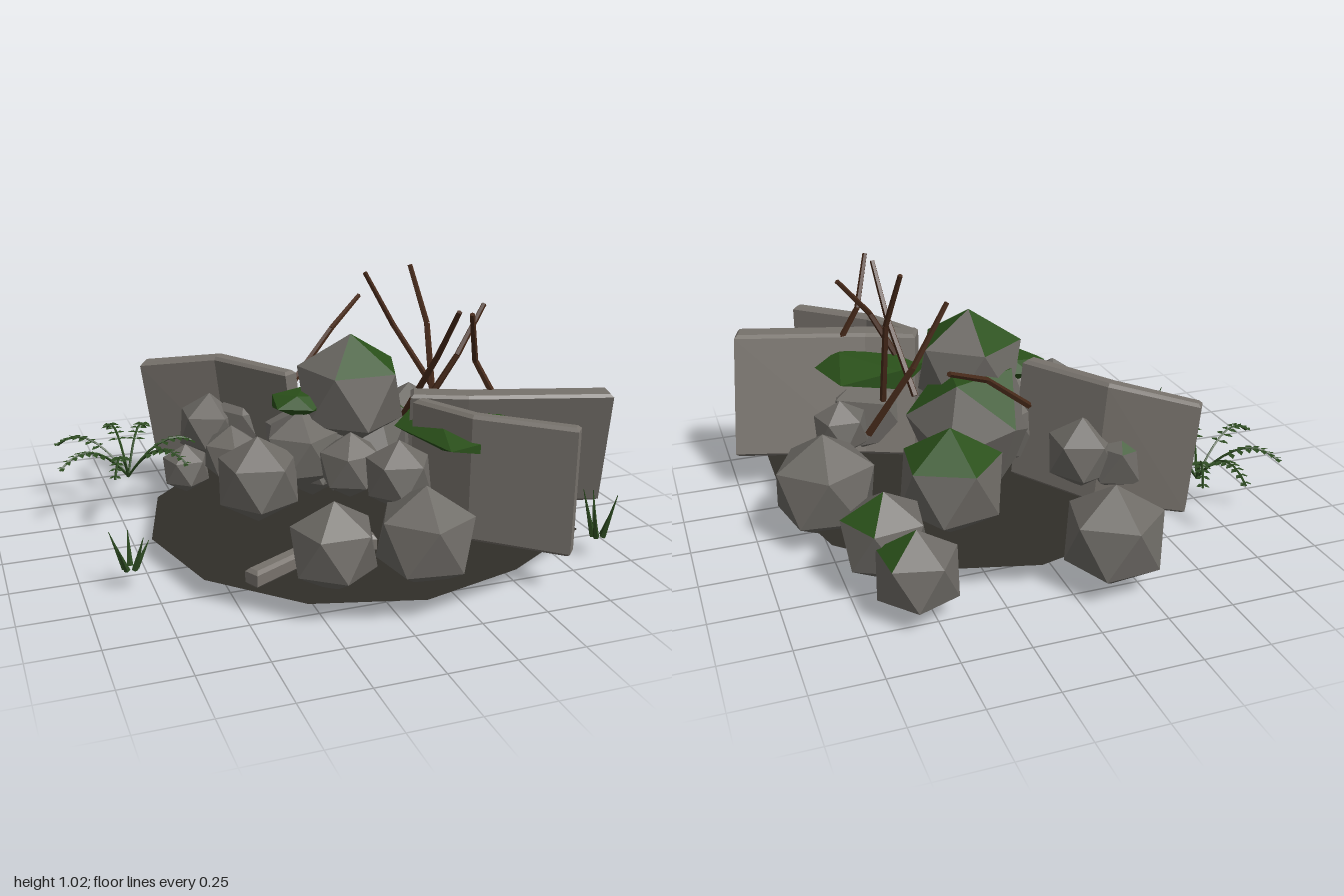
import * as THREE from 'three';

const mat = (color, extra = {}) => new THREE.MeshStandardMaterial({ color, flatShading: true, roughness: 1, ...extra });
const STONE = mat(0x6d6a65), SLAB = mat(0x77726c), MOSS = mat(0x2a501a), BARK = mat(0x472a1a);
const SOIL = mat(0x302e29, { side: THREE.DoubleSide });
const LEAF = mat(0x2c4a20, { side: THREE.DoubleSide });
const V = (x, y, z) => new THREE.Vector3(x, y, z);

function add(parent, name, geometry, material) {
  const mesh = new THREE.Mesh(geometry, material);
  mesh.name = name;
  parent.add(mesh);
  return mesh;
}

// Twenty-sided stone with a corner on top (tilt brings a face up); the upper faces
// nearest the moss azimuths turn green.
function rock(parent, [x, y, z, r, spin = 0, moss = [], tilt = 0]) {
  const geo = new THREE.IcosahedronGeometry(r, 0);
  geo.rotateZ(-Math.atan(2 / (1 + Math.sqrt(5))) - tilt).rotateY(spin);
  const p = geo.attributes.position, faces = [];
  for (let i = 0; i < p.count; i += 3) {
    const f = [0, 1, 2].map(k => new THREE.Vector3().fromBufferAttribute(p, i + k));
    faces.push({ f, mid: V(0, 0, 0).add(f[0]).add(f[1]).add(f[2]).normalize() });
  }
  const green = new Set(moss.map(a => {
    const d = V(Math.cos(a) * 0.6, 0.8, Math.sin(a) * 0.6);
    return faces.reduce((best, c) => (c.mid.dot(d) > best.mid.dot(d) ? c : best));
  }));
  const build = list => {
    const g = new THREE.BufferGeometry().setFromPoints(list.flatMap(c => c.f));
    g.computeVertexNormals();
    return g;
  };
  const group = new THREE.Group();
  group.name = 'rock';
  group.position.set(x, y, z);
  add(group, 'stone', build(faces.filter(c => !green.has(c))), STONE);
  if (green.size) add(group, 'mossFaces', build([...green]), MOSS);
  parent.add(group);
}

// Bent upright slab: footprint polyline [x, z] thickened, extruded upward, leaned,
// with the top sinking by `droop` towards its first point.
function slab(parent, name, path, thick, y0, height, lean, droop = 0) {
  const bevel = 0.012, left = [], right = [];
  path.forEach(([x, z], i) => {
    const a = path[Math.max(i - 1, 0)], b = path[Math.min(i + 1, path.length - 1)];
    const n = new THREE.Vector2(b[1] - a[1], -(b[0] - a[0])).normalize().multiplyScalar(thick / 2 - bevel);
    left.push(new THREE.Vector2(x + n.x, -z - n.y));
    right.unshift(new THREE.Vector2(x - n.x, -z + n.y));
  });
  const geo = new THREE.ExtrudeGeometry(new THREE.Shape([...left, ...right]), {
    depth: height - 2 * bevel, bevelSize: bevel, bevelThickness: bevel, bevelSegments: 1,
  });
  geo.rotateX(-Math.PI / 2).translate(0, y0 + bevel, 0);
  const p = geo.attributes.position, span = path[1][0] - path[0][0];
  for (let i = 0; i < p.count; i++) {
    const h = (p.getY(i) - y0) / height, sink = Math.max(0, (path[1][0] - p.getX(i)) / span);
    p.setXYZ(i, p.getX(i) + lean[0] * h, p.getY(i) - droop * h * sink, p.getZ(i) + lean[1] * h);
  }
  geo.computeVertexNormals();
  add(parent, name, geo, SLAB);
}

// Straight stick between two points.
function stick(parent, name, a, b, r0, r1, material) {
  const mesh = add(parent, name, new THREE.CylinderGeometry(r1, r0, a.distanceTo(b), 5), material);
  mesh.position.copy(a).lerp(b, 0.5);
  mesh.quaternion.setFromUnitVectors(V(0, 1, 0), b.clone().sub(a).normalize());
}

// Arching frond along +x with paired diamond leaflets.
function frond(length) {
  const group = new THREE.Group();
  group.name = 'frond';
  const curve = new THREE.QuadraticBezierCurve3(V(0, 0, 0), V(length * 0.55, 0.24, 0), V(length, 0.11, 0));
  add(group, 'stem', new THREE.TubeGeometry(curve, 8, 0.005, 4), LEAF);
  const points = [];
  for (let i = 0; i < 7; i++) {
    const c = curve.getPoint(0.36 + i * 0.1), l = 0.042 - i * 0.003;
    for (const s of [-1, 1]) {
      const tip = V(c.x + l * 0.4, c.y - 0.006, s * l);
      const m1 = V(c.x - 0.004, c.y, s * l * 0.55), m2 = V(c.x + 0.022, c.y, s * l * 0.45);
      points.push(c, m1, tip, c, tip, m2);
    }
  }
  const geo = new THREE.BufferGeometry().setFromPoints(points);
  geo.computeVertexNormals();
  add(group, 'leaflets', geo, LEAF);
  return group;
}

export function createModel() {
  const model = new THREE.Group();
  model.name = 'rubblePile';

  // Ground patch: twelve-sided, with one corner pulled out
  const rim = [];
  for (let i = 0; i < 12; i++) {
    const a = (i * Math.PI) / 6, r = i === 1 ? 0.9 : 0.785;
    rim.push(new THREE.Vector2(0.08 + r * Math.cos(a), -0.135 - r * Math.sin(a)));
  }
  const ground = add(model, 'groundPatch', new THREE.ShapeGeometry(new THREE.Shape(rim)), SOIL);
  ground.rotation.x = -Math.PI / 2;
  ground.position.y = 0.08;

  // Rocks: x, y, z, radius, spin, moss azimuths, tilt
  const rocks = [
    [0.1, 0.575, 0.11, 0.23, 0.3, [2.2, 0.2, 4]],
    [0.13, 0.38, -0.01, 0.265, 0.9, [-1.6, -0.9, -0.3], 0.652],
    [-0.03, 0.34, 0.04, 0.21, 0.2],
    [0.3, 0.27, -0.27, 0.22, 0.5, [-0.6, -2, 0.7]],
    [0.73, 0.215, -0.04, 0.215, 0.2, [1.6]],
    [0.55, 0.165, -0.68, 0.165, 0.7, [0.2]],
    [0.61, 0.21, -0.48, 0.175, 1.1, [-0.8]],
    [-0.16, 0.2, -0.73, 0.2, 0.4, [1.7]],
    [-0.32, 0.32, 0.26, 0.17, 0.1],
    [-0.35, 0.33, 0, 0.12, 0.8],
    [-0.47, 0.18, -0.29, 0.105, 0.3],
    [-0.34, 0.32, -0.38, 0.145, 1.2, [-1.5]],
    [-0.2, 0.34, -0.34, 0.145, 0.6],
    [-0.12, 0.38, 0.16, 0.16, 0.9],
    [0.02, 0.36, 0.33, 0.13, 0.5],
    [-0.18, 0.22, 0.7, 0.17, 0.3, [-0.6]],
    [0.16, 0.21, 0.71, 0.195, 0.8, [0.1]],
    [0.13, 0.38, 0.53, 0.135, 0.1],
    [0.43, 0.3, 0.42, 0.2, 0.4],
    [0.6, 0.31, 0.25, 0.12, 0.9],
    [0.72, 0.24, 0.55, 0.095, 0.2],
  ];
  rocks.forEach(r => rock(model, r));

  // Flattened moss cushions: position and radii
  const cushions = [[0.43, 0.51, 0.45, 0.26, 0.075, 0.32], [-0.1, 0.55, 0.1, 0.13, 0.05, 0.12]];
  cushions.forEach(([x, y, z, a, b, c], i) => {
    const m = add(model, 'mossCushion', new THREE.IcosahedronGeometry(1, 0).rotateY(i * 0.8 + 0.3), MOSS);
    m.position.set(x, y, z);
    m.scale.set(a, b, c);
  });

  // Broken slabs
  slab(model, 'frontSlab', [[0.25, 0.44], [0.365, 0.66], [0.63, 0.895]], 0.055, 0.15, 0.48, [0, 0]);
  slab(model, 'rightSlab', [[0.3, 0.25], [0.48, 0.33], [0.98, 0.48]], 0.1, 0.16, 0.48, [-0.05, 0.13]);
  slab(model, 'backSlab', [[-0.51, -0.58], [-0.24, -0.4], [-0.04, -0.08]], 0.065, 0.16, 0.47, [-0.06, 0.03], 0.05);
  slab(model, 'lowSlab', [[-0.46, 0.67], [-0.16, 0.51], [0.03, 0.53]], 0.06, 0.1, 0.065, [0, 0]);

  // Twigs: base, bend, tip
  const twigs = [
    [V(0.57, 0.56, 0.46), V(0.47, 0.75, 0.43), V(0.41, 0.95, 0.51)],
    [V(0.32, 0.46, 0.13), V(0.38, 0.74, 0.3), V(0.4, 0.94, 0.43)],
    [V(0.35, 0.58, 0.3), V(0.44, 0.75, 0.34), V(0.58, 0.92, 0.27)],
    [V(0.45, 0.46, 0.13), V(0.45, 0.8, 0.04), V(0.41, 1.02, -0.05)],
    [V(0.58, 0.46, -0.16), V(0.42, 0.73, -0.23), V(0.29, 0.96, -0.23)],
    [V(-0.02, 0.52, -0.24), V(0.19, 0.7, -0.36), V(0.37, 0.8, -0.5)],
  ];
  for (const [a, b, c] of twigs) {
    const twig = new THREE.Group();
    twig.name = 'twig';
    stick(twig, 'lowerTwig', a, b, 0.014, 0.012, BARK);
    stick(twig, 'upperTwig', b, c, 0.012, 0.01, BARK);
    model.add(twig);
  }

  // Fern: fronds given by their tip offsets
  const fern = new THREE.Group();
  fern.name = 'fern';
  fern.position.set(-0.7, 0.15, -0.35);
  const tips = [[-0.03, -0.31], [0.13, -0.27], [0.3, 0.03], [0.2, 0.24], [-0.1, 0.29], [-0.29, 0.13], [-0.26, -0.17]];
  for (const [x, z] of tips) {
    const f = frond(Math.hypot(x, z));
    f.rotation.y = Math.atan2(-z, x);
    fern.add(f);
  }
  model.add(fern);

  // Grass tufts
  for (const [x, z, h] of [[0.89, 0.68, 0.2], [-0.83, 0.37, 0.15]]) {
    const tuft = new THREE.Group();
    tuft.name = 'grassTuft';
    for (let i = 0; i < 5; i++) {
      const a = i * 2.4, base = V(x + Math.cos(a) * 0.02, 0.09, z + Math.sin(a) * 0.02);
      const tip = V(x + Math.cos(a) * 0.07, 0.09 + h * (0.65 + 0.08 * i), z + Math.sin(a) * 0.06);
      stick(tuft, 'blade', base, tip, 0.012, 0.001, LEAF);
    }
    model.add(tuft);
  }
  return model;
}
